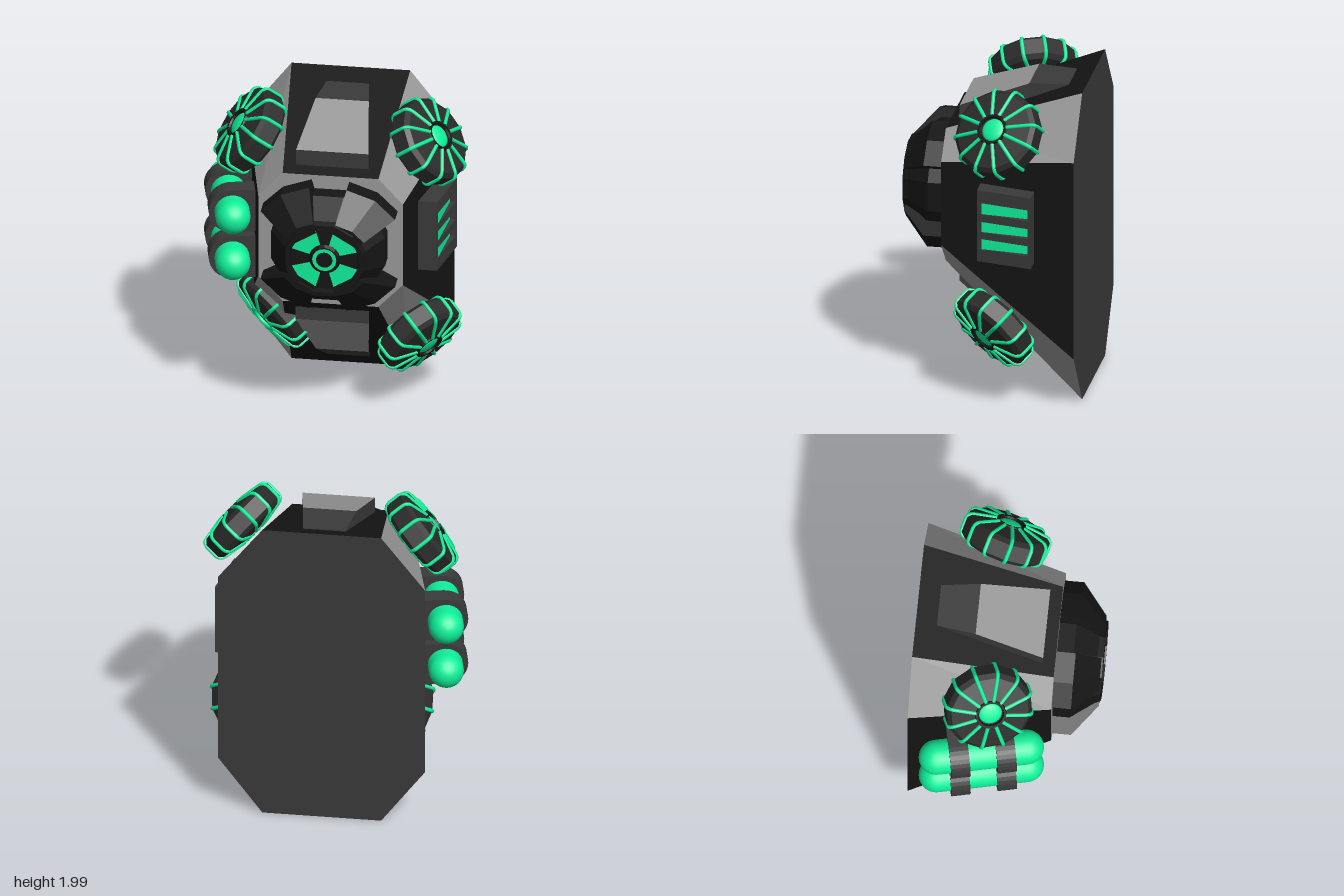
import * as THREE from 'three';

const CX = 0.028; // mirror plane of the hull
const mat = (color, extra = {}) => new THREE.MeshStandardMaterial({ color, flatShading: true, ...extra });
const black = mat(0x151515), dark = mat(0x3a3a3a), grey = mat(0x999999), tyre = mat(0x2a2a2a);
const green = mat(0x10f09a, { flatShading: false, side: THREE.DoubleSide });

function add(parent, name, geometry, material) {
  const m = new THREE.Mesh(geometry, material);
  m.name = name;
  parent.add(m);
  return m;
}

// Skins rings of [x, y, z] (counter-clockwise from the front, ordered back to front).
// pick(i, j) gives the material of side j in band i; 'back' and 'front' are the caps.
function loft(parent, name, rings, pick) {
  const buckets = new Map();
  const poly = (pts, m) => {
    if (!buckets.has(m)) buckets.set(m, []);
    for (let k = 1; k < pts.length - 1; k++) buckets.get(m).push(...pts[0], ...pts[k], ...pts[k + 1]);
  };
  const n = rings[0].length;
  for (let i = 0; i < rings.length - 1; i++)
    for (let j = 0; j < n; j++) {
      const a = rings[i], b = rings[i + 1], k = (j + 1) % n;
      poly([a[j], a[k], b[k], b[j]], pick(i, j));
    }
  poly([...rings[0]].reverse(), pick('back'));
  poly(rings[rings.length - 1], pick('front'));
  const g = new THREE.Group();
  g.name = name;
  parent.add(g);
  for (const [m, pos] of buckets) {
    const geo = new THREE.BufferGeometry();
    geo.setAttribute('position', new THREE.Float32BufferAttribute(pos, 3));
    geo.computeVertexNormals();
    add(g, name + 'Faces', geo, m);
  }
}

// Chamfered rectangle: w/c are half widths at the side and at top/bottom edges
function octagon(w, c, y0, y1, y2, y3, z) {
  return [[c, y0], [w, y1], [w, y2], [c, y3], [-c, y3], [-w, y2], [-w, y1], [-c, y0]]
    .map(([x, y]) => [CX + x, y, z]);
}

// Plan outline in [x, z], raised from y0 to y1
function slab(parent, name, outline, y0, y1, material) {
  const shape = new THREE.Shape(outline.map(([x, z]) => new THREE.Vector2(x, -z)));
  const geo = new THREE.ExtrudeGeometry(shape, { depth: y1 - y0, bevelEnabled: false });
  geo.rotateX(-Math.PI / 2).translate(0, y0, 0);
  return add(parent, name, geo, material);
}

const v2 = (pts) => pts.map(([x, y]) => new THREE.Vector2(x, y));

// Ribbed wheel facing +y, then turned so that it faces `normal`
function wheel(parent, name, center, normal) {
  const g = new THREE.Group();
  g.name = name;
  const rim = [[0.09, -0.1], [0.24, -0.075], [0.265, -0.05], [0.265, 0.05], [0.24, 0.075], [0.09, 0.1]];
  add(g, 'tyre', new THREE.LatheGeometry(v2([[0, -0.085], [0.08, -0.085], ...rim, [0.08, 0.085], [0, 0.085]]), 12), tyre);
  const path = new THREE.CatmullRomCurve3(
    rim.map(([r, y]) => new THREE.Vector3(0, y, r)), false, 'catmullrom', 0.1);
  const ribGeo = new THREE.TubeGeometry(path, 24, 0.012, 6);
  for (let i = 0; i < 12; i++) add(g, 'rib', ribGeo, green).rotation.y = (i * Math.PI) / 6;
  // domed hub in front, ringed socket behind
  const hub = add(g, 'hub', new THREE.SphereGeometry(0.07, 20, 12), green);
  hub.scale.y = 0.3;
  hub.position.y = 0.085;
  for (const s of [-1, 1]) {
    const ring = add(g, 'hubRing', new THREE.TorusGeometry(0.085, 0.013, 6, 24), s > 0 ? black : green);
    ring.rotation.x = Math.PI / 2;
    ring.position.y = s * 0.095;
  }
  g.position.set(...center);
  g.quaternion.setFromUnitVectors(new THREE.Vector3(0, 1, 0), new THREE.Vector3(...normal).normalize());
  parent.add(g);
}

// Round front turret with four armour petals
function turret(parent) {
  const g = new THREE.Group();
  g.name = 'turret';
  g.position.set(CX, 1.22, 0.28);
  parent.add(g);
  const core = add(g, 'turretCore', new THREE.LatheGeometry(
    v2([[0.355, -0.01], [0.355, 0.1], [0.255, 0.24], [0.24, 0.275], [0.215, 0.275], [0.205, 0.24], [0, 0.24]]),
    12, Math.PI / 12), black);
  core.rotation.x = Math.PI / 2;
  const arc = [[0.404, 0.224], [0.285, 0.34], [0.113, 0.4]];
  for (const sx of [-1, 1])
    for (const sy of [-1, 1]) {
      const rings = [[0, 1], [0.115, 1], [0.25, 0.63], [0.265, 0.59]].map(([z, s]) => {
        const at = ([x, y], k) => [sx * x * s * k, sy * y * s * k, z];
        const r = [...arc.map((p) => at(p, 1)), at(arc[2], 0.75), at(arc[0], 0.75)];
        return sx * sy < 0 ? r.reverse() : r;
      });
      loft(g, 'petal', rings, () => black);
    }
  // glowing lens segments and centre ring
  for (let i = 0; i < 4; i++) {
    const span = Math.PI * 0.32;
    add(g, 'lensSegment', new THREE.RingGeometry(0.095, 0.208, 4, 1, Math.PI / 4 + (i * Math.PI) / 2 - span / 2, span), green)
      .position.z = 0.246;
  }
  const boss = add(g, 'lensBoss', new THREE.CylinderGeometry(0.08, 0.092, 0.02, 16), black);
  boss.rotation.x = Math.PI / 2;
  boss.position.z = 0.25;
  add(g, 'lensRing', new THREE.RingGeometry(0.05, 0.073, 16), green).position.z = 0.262;
}

// Capsule in two clamps that follow the sloping hull side
function pod(parent, y) {
  const g = new THREE.Group();
  g.name = 'pod';
  g.position.set(-0.6375, y, -0.115);
  g.rotation.y = 0.22;
  parent.add(g);
  const capsule = new THREE.CapsuleGeometry(0.105, 0.54, 10, 24).rotateX(Math.PI / 2);
  add(g, 'capsule', capsule, green);
  const s = new THREE.Shape();
  s.moveTo(0.16, -0.138);
  s.lineTo(0.16, 0.138);
  s.lineTo(0, 0.138);
  s.absarc(0, 0, 0.138, Math.PI / 2, Math.PI * 1.5, false);
  s.lineTo(0.16, -0.138);
  const clamp = new THREE.ExtrudeGeometry(s, { depth: 0.115, bevelEnabled: false, curveSegments: 8 });
  for (const z of [-0.195, 0.083]) add(g, 'clamp', clamp, dark).position.z = z;
}

export function createModel() {
  const root = new THREE.Group();
  root.name = 'wallUnit';

  // tapering hull: black sides, grey chamfers and front
  loft(root, 'hull', [
    octagon(0.622, 0.357, 0, 0.36, 1.62, 1.965, -0.56),
    octagon(0.435, 0.288, 0.8, 0.955, 1.49, 1.65, 0.28),
  ], (i, j) => (i === 'back' ? dark : i === 'front' || j % 2 === 0 ? grey : black));

  // wedge panels above and below
  const panel = (name, rows, lightSide) => loft(root, name,
    rows.map(([z, w, lo, hi]) => [[CX - w, lo, z], [CX + w, lo, z], [CX + w, hi, z], [CX - w, hi, z]]),
    (i, j) => (i === 1 && j === lightSide ? grey : dark));
  panel('topPanel', [[-0.435, 0.128, 1.89, 1.922], [-0.2, 0.16, 1.8, 1.922], [0.21, 0.218, 1.65, 1.775]], 2);
  panel('bottomPanel', [[-0.45, 0.128, 0.1, 0.13], [-0.2, 0.158, 0.255, 0.37], [0.21, 0.222, 0.65, 0.76]], 0);

  // vent on the left side: wedge-shaped bars around sunken glowing strips
  const vent = new THREE.Group();
  vent.name = 'sideVent';
  root.add(vent);
  slab(vent, 'ventBase', [[0.48, 0.03], [0.63, 0.03], [0.66, -0.31], [0.48, -0.31]], 0.94, 1.395, dark);
  for (const [a, b] of [[0.94, 1.02], [1.085, 1.13], [1.195, 1.245], [1.315, 1.395]])
    slab(vent, 'ventBar', [[0.62, 0.03], [0.632, 0.03], [0.702, -0.31], [0.62, -0.31]], a, b, dark);
  slab(vent, 'ventEnd', [[0.62, -0.29], [0.698, -0.29], [0.702, -0.31], [0.62, -0.31]], 0.94, 1.395, dark);
  for (const y of [1.02, 1.13, 1.245])
    slab(vent, 'ventStrip', [[0.55, 0], [0.637, 0], [0.664, -0.29], [0.55, -0.29]], y, y + 0.068, green);

  for (const y of [1.272, 0.967]) pod(root, y);
  turret(root);

  // corner wheels; the lower right one is sunk and turned back to front
  wheel(root, 'upperLeftWheel', [0.565, 1.735, -0.09], [0.75, 0.6, 0.27]);
  wheel(root, 'upperRightWheel', [2 * CX - 0.565, 1.735, -0.09], [-0.75, 0.6, 0.27]);
  wheel(root, 'lowerLeftWheel', [0.515, 0.475, -0.05], [0.656, -0.525, 0.54]);
  wheel(root, 'lowerRightWheel', [-0.365, 0.55, -0.12], [0.656, 0.525, -0.54]);
  return root;
}
